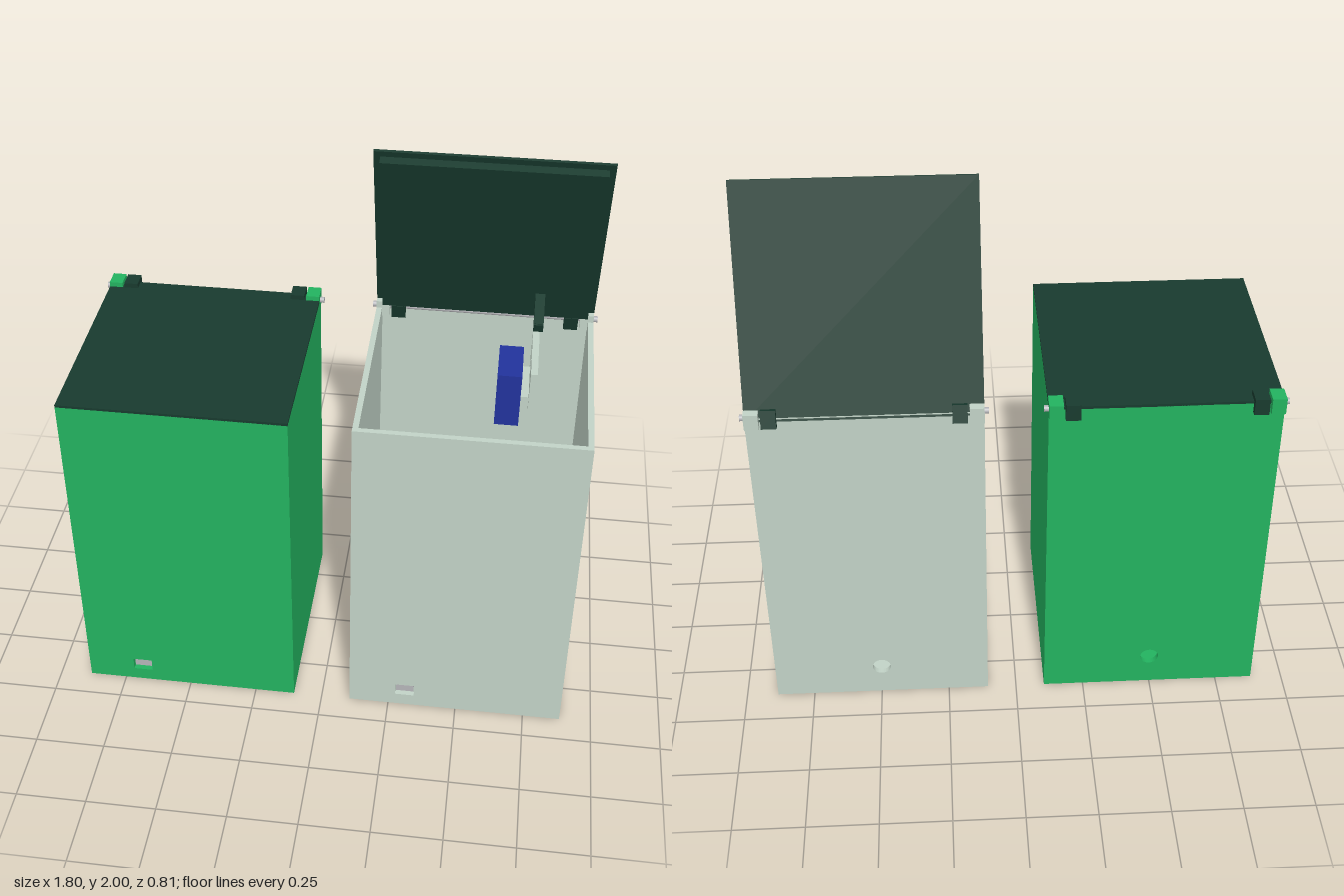
import * as THREE from 'three';

const mat = (color) => new THREE.MeshStandardMaterial({ color });
const GREEN = mat(0x23b25f), PALE = mat(0xc1d2c6), DARK = mat(0x183a2e);
const NAVY = mat(0x1a3a52), BLUE = mat(0x22339c), METAL = mat(0xb4b4b8);

const W = 0.78, H = 1.265, T = 0.02;        // bin width, height, wall thickness
const BACK = -0.38, FRONT = 0.405;          // outer z limits
const PIVOT_Y = 1.262, PIVOT_Z = -0.367;    // hinge axis

function add(parent, name, geometry, material) {
  const mesh = new THREE.Mesh(geometry, material);
  mesh.name = name;
  parent.add(mesh);
  return mesh;
}

// Box given by its limits on each axis
function box(parent, name, material, [x0, x1], [y0, y1], [z0, z1]) {
  const mesh = add(parent, name, new THREE.BoxGeometry(x1 - x0, y1 - y0, z1 - z0), material);
  mesh.position.set((x0 + x1) / 2, (y0 + y1) / 2, (z0 + z1) / 2);
  return mesh;
}

function rectangle(Type, x0, x1, y0, y1) {
  return new Type([[x0, y0], [x1, y0], [x1, y1], [x0, y1]].map(([x, y]) => new THREE.Vector2(x, y)));
}

// Rectangular plate with one hole, extruded along z
function platedHole(x0, x1, y0, y1, hole, depth) {
  const shape = rectangle(THREE.Shape, x0, x1, y0, y1);
  shape.holes.push(hole);
  return new THREE.ExtrudeGeometry(shape, { depth, bevelEnabled: false, curveSegments: 16 });
}

function makeBody(material) {
  const body = new THREE.Group();
  body.name = 'body';
  const h = W / 2;

  // Front wall with port opening, back wall with round cable hole
  const port = rectangle(THREE.Path, -0.22, -0.15, 0.05, 0.1);
  add(body, 'frontWall', platedHole(-h, h, 0, H, port, T), material).position.z = FRONT - T;
  const cable = new THREE.Path().absarc(0, 0.125, 0.033, 0, Math.PI * 2);
  add(body, 'backWall', platedHole(-h, h, 0, H, cable, T), material).position.z = BACK;

  for (const s of [-1, 1]) {
    const x = s * (h - T / 2);
    box(body, 'sideWall', material, [x - T / 2, x + T / 2], [0, H], [BACK + T, FRONT - T]);
    // Fixed hinge ear
    const e = s * 0.366;
    box(body, 'hingeEar', material, [e - 0.024, e + 0.024],
      [PIVOT_Y - 0.03, PIVOT_Y + 0.03], [PIVOT_Z - 0.033, PIVOT_Z + 0.03]);
  }
  box(body, 'floor', material, [-h + T, h - T], [0, T], [BACK + T, FRONT - T]);

  // Hinge pin
  const pin = add(body, 'hingePin', new THREE.CylinderGeometry(0.011, 0.011, 0.81, 16), METAL);
  pin.rotation.z = Math.PI / 2;
  pin.position.set(0, PIVOT_Y, PIVOT_Z);
  return body;
}

function makeElectronics(material) {
  const group = new THREE.Group();
  group.name = 'electronics';

  // Tray frame, circuit board and port
  const opening = rectangle(THREE.Path, -0.262, -0.108, -0.353, 0.023);
  const frame = platedHole(-0.275, -0.095, -0.365, 0.035, opening, 0.05).rotateX(-Math.PI / 2);
  add(group, 'boardTray', frame, material).position.y = T;
  box(group, 'circuitBoard', NAVY, [-0.26, -0.11], [0.045, 0.055], [-0.02, 0.352]);
  box(group, 'port', METAL, [-0.217, -0.153], [0.057, 0.095], [0.325, 0.392]);

  // Latch plate with window, and the motor beside it
  const slot = rectangle(THREE.Path, 0.23, 0.30, 1.09, 1.18);
  const plate = platedHole(0.08, 0.36, 1.03, 1.2, slot, 0.024).rotateY(Math.PI / 2);
  add(group, 'latchPlate', plate, material).position.x = 0.18;
  box(group, 'latchMotor', BLUE, [0.065, 0.152], [0.95, 1.165], [-0.3, -0.11]);
  box(group, 'motorMount', material, [0.152, 0.18], [1.03, 1.08], [-0.3, -0.11]);
  return group;
}

// Lid modelled closed, around the hinge axis
function makeLid(openDegrees) {
  const lid = new THREE.Group();
  lid.name = 'lid';
  box(lid, 'lidPanel', DARK, [-W / 2, W / 2], [0.002, 0.012], [BACK - PIVOT_Z, FRONT - PIVOT_Z]);
  box(lid, 'lidInset', DARK, [-0.368, 0.368], [-0.028, 0.002], [0.03, 0.75]);
  box(lid, 'latchArm', DARK, [0.175, 0.209], [-0.17, -0.028], [0.118, 0.153]);
  box(lid, 'latchHook', DARK, [0.177, 0.207], [-0.165, -0.135], [0.116, 0.155]);
  for (const s of [-1, 1]) {
    const x = s * 0.31;
    box(lid, 'lidKnuckle', DARK, [x - 0.025, x + 0.025], [-0.03, 0.03], [-0.033, 0.03]);
  }
  lid.position.set(0, PIVOT_Y, PIVOT_Z);
  lid.rotation.x = -THREE.MathUtils.degToRad(openDegrees);
  return lid;
}

function makeBin(name, x, material, openDegrees) {
  const bin = new THREE.Group();
  bin.name = name;
  bin.add(makeBody(material), makeElectronics(material), makeLid(openDegrees));
  bin.position.x = x;
  return bin;
}

export function createModel() {
  const model = new THREE.Group();
  model.name = 'recyclingBins';
  model.add(makeBin('closedBin', -0.495, GREEN, 0), makeBin('openBin', 0.495, PALE, 72));
  return model;
}
